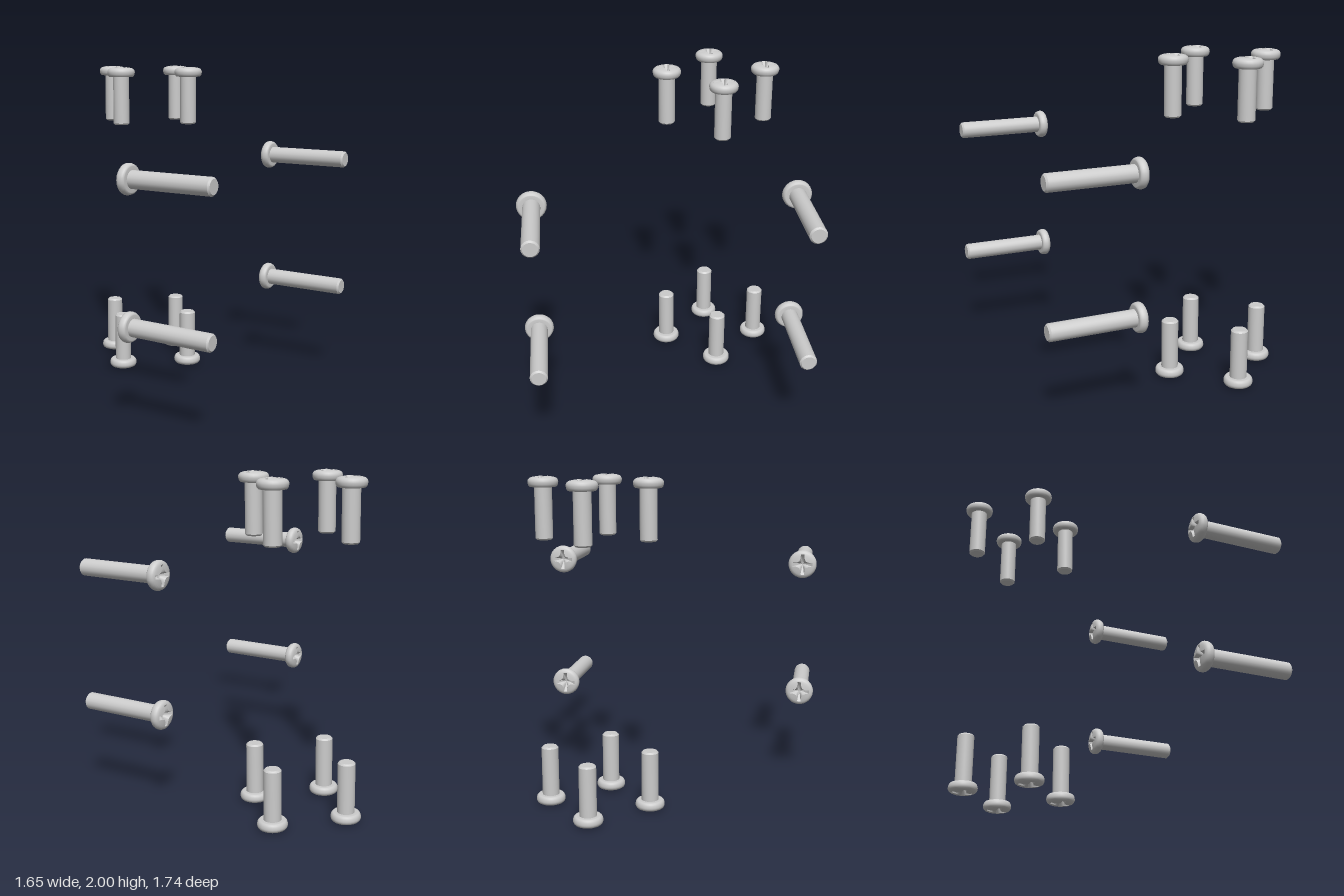
import * as THREE from 'three';
import { toCreasedNormals } from 'three/addons/utils/BufferGeometryUtils.js';

// One quadrant of the cross recess outline, in hundredths of a unit
const quarter = [[6.4, 0], [6.4, 1.15], [4, 1.3], [2.8, 1.7], [2.1, 2.1], [1.7, 2.8], [1.3, 4], [1.15, 6.4]];
const cross = [];
for (let q = 0; q < 4; q++) {
  const c = [1, 0, -1, 0][q], s = [0, 1, 0, -1][q];
  for (const [x, z] of quarter) cross.push({ r: Math.hypot(x, z), a: Math.atan2(x * s + z * c, x * c - z * s) });
}

const DOME_EDGE = 6.8;
const domeY = r => -0.85 * (r / DOME_EDGE) ** 2;

// Screw along -y with the top of its head at the origin
function screwGeometry(length) {
  const rings = [];
  const ring = f => rings.push(cross.map(({ r, a }) => {
    const [rad, y] = f(r);
    return [rad * Math.cos(a), y, rad * Math.sin(a)];
  }));
  // recess floor and walls
  ring(() => [0, -4.2]);
  ring(r => [r * 0.45, -3.6]);
  // domed top around the recess
  for (const t of [0, 0.33, 0.67, 1]) {
    ring(r => {
      const rad = r + (DOME_EDGE - r) * t;
      return [rad, domeY(rad)];
    });
  }
  // rounded rim, underside, shaft and chamfered tip
  const profile = [
    [7.7, -1.25], [8.4, -1.9], [8.8, -2.8], [8.87, -3.6], [8.7, -4.7], [8.35, -5.6], [7.7, -6.3], [7.2, -6.4],
    [5.15, -6.4], [5.15, 1 - length], [4.2, -length], [0, -length],
  ];
  for (const p of profile) ring(() => p);

  const n = cross.length, index = [];
  for (let k = 0; k < rings.length - 1; k++) {
    for (let i = 0; i < n; i++) {
      const j = (i + 1) % n;
      const a = k * n + i, b = k * n + j, c = a + n, d = b + n;
      if (k > 0) index.push(a, b, c);
      if (k < rings.length - 2) index.push(b, d, c);
      if (k === 0) continue;
    }
  }
  const g = new THREE.BufferGeometry();
  g.setAttribute('position', new THREE.Float32BufferAttribute(rings.flat(2), 3));
  g.setIndex(index);
  return toCreasedNormals(g, 0.65).scale(0.01, 0.01, 0.01);
}

export function createModel() {
  const model = new THREE.Group();
  model.name = 'screwSet';
  const material = new THREE.MeshStandardMaterial({ color: 0xcccccc });
  const shortScrew = screwGeometry(37);
  const longScrew = screwGeometry(58.5);

  const add = (name, geometry, position, rotation) => {
    const mesh = new THREE.Mesh(geometry, material);
    mesh.name = name;
    mesh.position.set(...position);
    mesh.rotation.set(...rotation);
    model.add(mesh);
  };

  // Upright short screws: a ring of four at the top, mirrored at the bottom
  for (let i = 0; i < 4; i++) {
    const a = i * Math.PI / 2;
    const x = -0.43 + 0.31 * Math.cos(a), z = -0.39 + 0.31 * Math.sin(a);
    add('topScrew' + (i + 1), shortScrew, [x, 2, z], [0, 0, 0]);
    add('bottomScrew' + (i + 1), shortScrew, [x, 0, z], [Math.PI, 0, 0]);
  }

  // Horizontal long screws with their heads towards -x
  for (const [level, y] of [['upper', 1.42], ['lower', 0.59]]) {
    for (const [side, z] of [['Front', 0.78], ['Back', -0.78]]) {
      add(level + side + 'Screw', longScrew, [0.24, y, z], [0, 0, Math.PI / 2]);
    }
  }
  return model;
}
